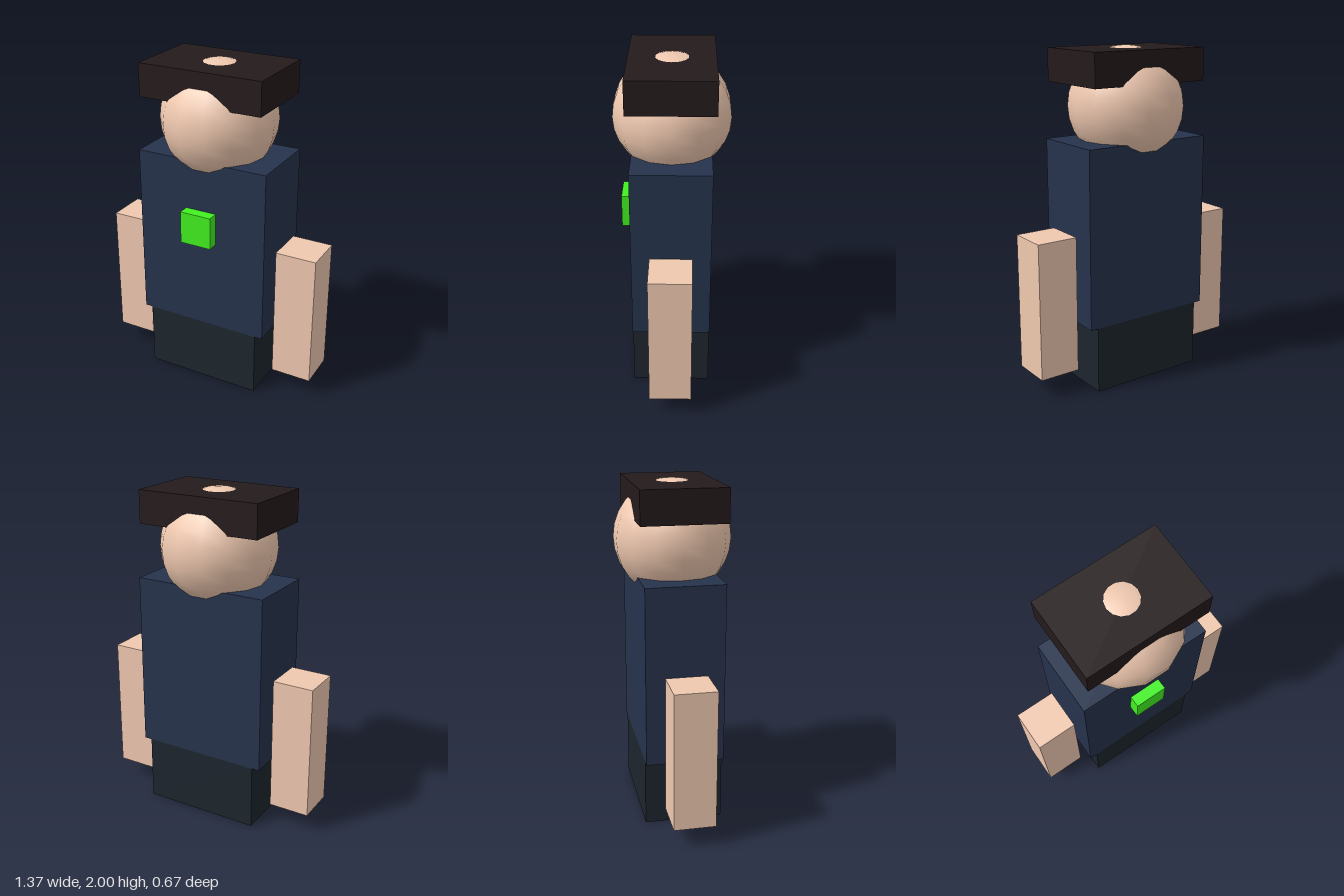
import * as THREE from 'three';

const material = (color) => new THREE.MeshStandardMaterial({ color });

export function createModel() {
  const model = new THREE.Group();
  const skin = material(0xf0c9b0);
  const navy = material(0x26334d);
  const charcoal = material(0x1d252d);
  const darkBrown = material(0x241a1b);
  const green = material(0x41f020);

  // Box given by its centre x, bottom and top y, back and front z
  function addBox(name, mat, x, width, [y0, y1], [z0, z1]) {
    const mesh = new THREE.Mesh(new THREE.BoxGeometry(width, y1 - y0, z1 - z0), mat);
    mesh.position.set(x, (y0 + y1) / 2, (z0 + z1) / 2);
    mesh.name = name;
    model.add(mesh);
  }

  // Body
  addBox('legs', charcoal, 0, 0.725, [0, 0.4], [-0.23, 0.23]);
  addBox('torso', navy, 0, 0.82, [0.4, 1.46], [-0.23, 0.23]);
  addBox('chestBadge', green, 0, 0.195, [0.96, 1.157], [0.2, 0.298]);

  // Arms hang free at either side
  for (const [name, side] of [['leftArm', 1], ['rightArm', -1]]) {
    addBox(name, skin, side * 0.56, 0.248, [0.12, 0.942], [-0.123, 0.123]);
  }

  // Head, its crown poking through the flat hat
  const head = new THREE.Mesh(new THREE.SphereGeometry(0.345, 14, 14), skin);
  head.position.y = 1.655;
  head.name = 'head';
  model.add(head);
  addBox('hat', darkBrown, 0, 0.76, [1.79, 1.985], [-0.247, 0.247]);

  return model;
}
